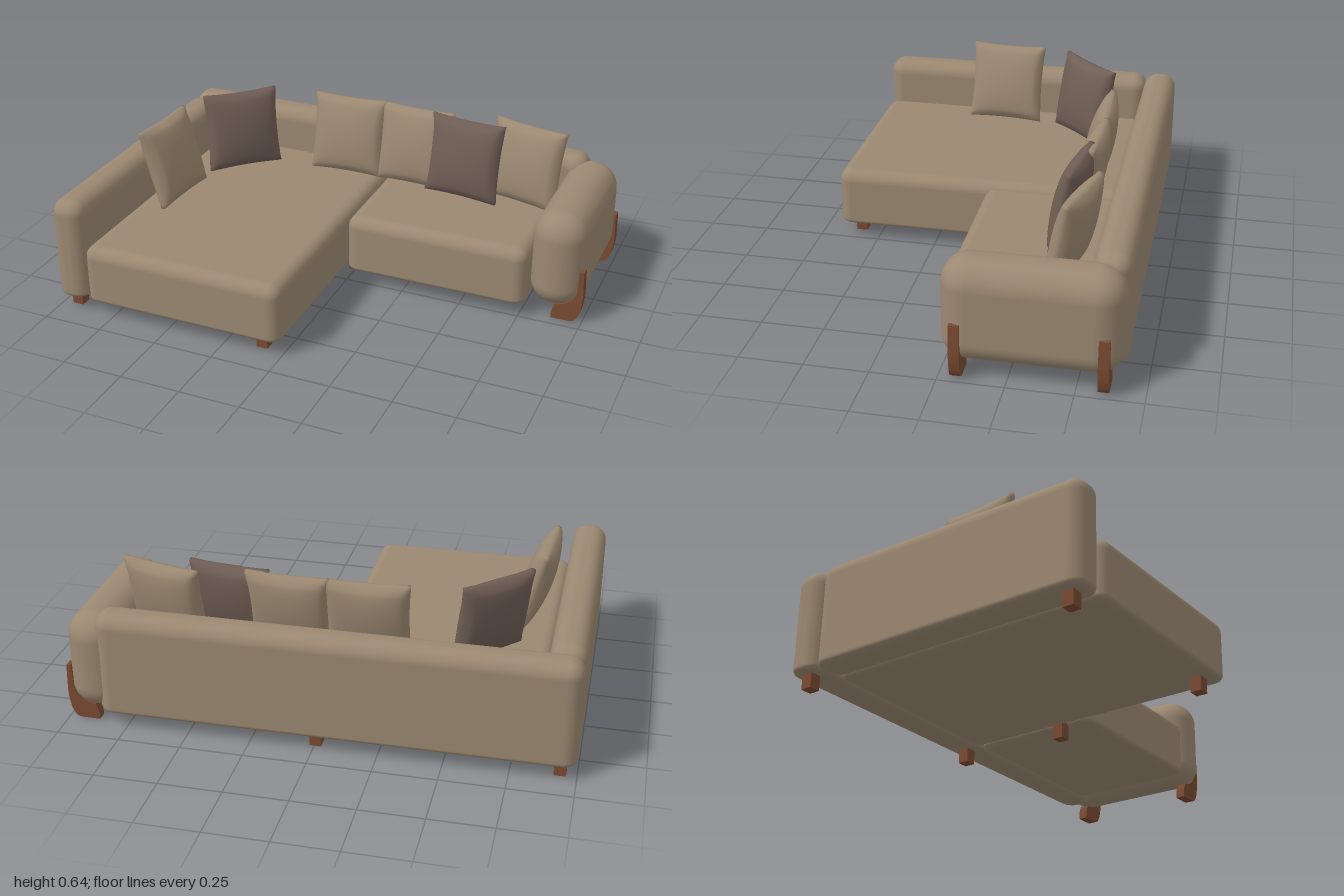
import * as THREE from 'three';
import { mergeVertices } from 'three/addons/utils/BufferGeometryUtils.js';
import { RoundedBoxGeometry } from 'three/addons/geometries/RoundedBoxGeometry.js';

// Box given by its bounds, rounded by r, with a tighter radius rb along the bottom edge
function softBox([x0, x1], [y0, y1], [z0, z1], r, rb = r) {
  const w = x1 - x0, h = y1 - y0, d = z1 - z0;
  const g = new RoundedBoxGeometry(w, h, d, 6, r);
  const p = g.attributes.position, n = g.attributes.normal;
  for (let i = 0; i < p.count; i++) {
    if (p.getY(i) > 0 || rb === r) continue;
    const nx = n.getX(i), ny = n.getY(i), nz = n.getZ(i);
    const l = Math.hypot(nx, nz);
    const grow = l > 1e-4 ? (r - rb) * (1 / l - 1) : 0;
    p.setXYZ(i, p.getX(i) + nx * grow, -h / 2 + rb + ny * rb, p.getZ(i) + nz * grow);
  }
  g.translate((x0 + x1) / 2, (y0 + y1) / 2, (z0 + z1) / 2);
  return g;
}

// Square scatter cushion: plump centre, thin seam, slightly drawn-in sides
function cushionGeometry(w, h) {
  let g = new THREE.BoxGeometry(2, 2, 2, 20, 20, 2);
  const p = g.attributes.position;
  for (let i = 0; i < p.count; i++) {
    const u = p.getX(i), v = p.getY(i), s = p.getZ(i);
    const plump = Math.pow(Math.max(0, (1 - u * u) * (1 - v * v)), 0.45);
    const seam = 1 + 0.02 * (1 - Math.abs(s));
    p.setXYZ(i,
      u * w / 2 * (1 - 0.05 * (1 - v * v)) * seam,
      v * h / 2 * (1 - 0.04 * (1 - u * u)) * seam,
      s * (0.012 + 0.046 * plump));
  }
  g.deleteAttribute('normal');
  g.deleteAttribute('uv');
  g = mergeVertices(g, 1e-4);
  g.computeVertexNormals();
  return g;
}

export function createModel() {
  const model = new THREE.Group();
  model.name = 'cornerSofa';

  const material = (name, color) => {
    const m = new THREE.MeshStandardMaterial({ color });
    m.name = name;
    return m;
  };
  const fabric = material('tanFabric', 0x9b8871);
  const darkFabric = material('darkBrownFabric', 0x6e5d54);
  const wood = material('reddishWood', 0x7a4a32);

  const add = (name, geometry, mat) => {
    const mesh = new THREE.Mesh(geometry, mat);
    mesh.name = name;
    model.add(mesh);
    return mesh;
  };

  // Upholstered body
  add('backrest', softBox([-1, 0.86], [0.06, 0.485], [-0.67, -0.53], 0.06, 0.02), fabric);
  add('rightSideArm', softBox([-1, -0.86], [0.06, 0.485], [-0.54, 0.665], 0.06, 0.02), fabric);
  add('chaiseSeat', softBox([-0.86, -0.004], [0.06, 0.305], [-0.54, 0.665], 0.05, 0.02), fabric);
  add('seat', softBox([0.002, 0.775], [0.06, 0.305], [-0.54, 0.022], 0.05, 0.02), fabric);
  add('leftSideArm', softBox([0.772, 0.99], [0.06, 0.462], [-0.665, 0.002], 0.105, 0.09), fabric);

  // Square block legs
  const blockLegs = [[-0.937, 0.59], [-0.937, -0.6], [-0.097, 0.59], [-0.004, -0.11], [-0.004, -0.6]];
  for (const [x, z] of blockLegs) {
    add('blockLeg', new THREE.BoxGeometry(0.046, 0.08, 0.046).translate(x, 0.04, z), wood);
  }

  // Curved wooden legs that hug the rounded arm
  const legShape = new THREE.Shape();
  legShape.moveTo(0.875, 0);
  legShape.lineTo(0.955, 0);
  legShape.bezierCurveTo(0.985, 0.005, 0.997, 0.05, 1, 0.12);
  legShape.lineTo(0.997, 0.23);
  legShape.lineTo(0.978, 0.23);
  legShape.lineTo(0.975, 0.14);
  legShape.quadraticCurveTo(0.965, 0.075, 0.89, 0.065);
  legShape.quadraticCurveTo(0.874, 0.04, 0.875, 0);
  const legGeometry = new THREE.ExtrudeGeometry(legShape, {
    depth: 0.04, bevelEnabled: false, curveSegments: 10,
  });
  for (const z of [-0.085, -0.62]) {
    add('curvedLeg', legGeometry, wood).position.z = z;
  }

  // Scatter cushions: position, yaw, backward lean, fabric
  const cushion = cushionGeometry(0.325, 0.335);
  const cushions = [
    [-0.762, 0.08, Math.PI / 2 - 0.06, 0.28, fabric],
    [-0.625, -0.295, Math.PI / 4, 0.18, darkFabric],
    [-0.168, -0.425, 0.03, 0.2, fabric],
    [0.14, -0.425, -0.04, 0.2, fabric],
    [0.375, -0.385, -0.12, 0.2, darkFabric],
    [0.63, -0.435, -0.25, 0.2, fabric],
  ];
  for (const [x, z, yaw, lean, mat] of cushions) {
    const c = add('scatterCushion', cushion, mat);
    c.position.set(x, 0.468, z);
    c.rotation.set(-lean, yaw, 0, 'YXZ');
  }
  return model;
}
